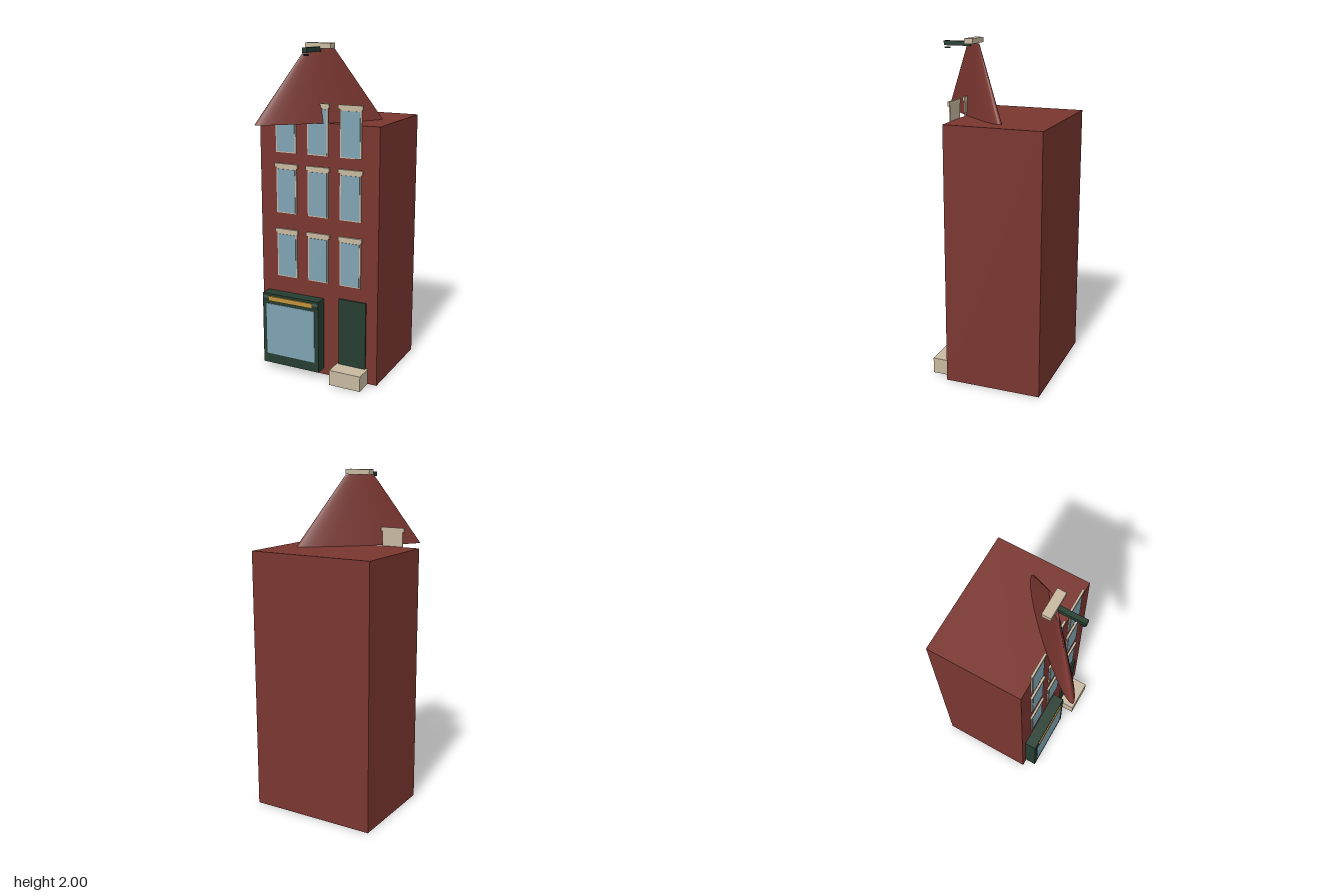
import * as THREE from 'three';

const mat = (color) => new THREE.MeshStandardMaterial({ color });

export function createModel() {
  const house = new THREE.Group();
  house.name = 'townhouse';
  const brick = mat(0x7a3630), stone = mat(0xc8b9a0), green = mat(0x263d30);
  const glass = mat(0x7fa3b3), gold = mat(0xc0933a);

  const add = (name, geometry, material, parent = house) => {
    const mesh = new THREE.Mesh(geometry, material);
    mesh.name = name;
    parent.add(mesh);
    return mesh;
  };
  // Box given by its extents on each axis
  const box = (name, material, [x0, x1], [y0, y1], [z0, z1], parent) => {
    const mesh = add(name, new THREE.BoxGeometry(x1 - x0, y1 - y0, z1 - z0), material, parent);
    mesh.position.set((x0 + x1) / 2, (y0 + y1) / 2, (z0 + z1) / 2);
    return mesh;
  };

  const wall = 0.167; // z of the front wall
  box('body', brick, [-0.385, 0.385], [0, 1.555], [-0.415, wall]);

  // Gable: a flattened, tapered cone set diagonally over the front
  const gable = add('gable', new THREE.CylinderGeometry(0.22, 1, 0.415, 48), brick);
  gable.scale.set(0.385, 1, 0.054);
  gable.rotation.y = Math.PI / 4;
  gable.position.set(0, 1.7625, 0.14);
  box('gableCap', stone, [-0.08, 0.08], [1.97, 2], [0.112, 0.165]);

  // Hoisting beam with its ring
  box('hoistBeam', green, [-0.014, 0.014], [1.953, 1.98], [0.155, 0.323]);
  const ring = add('hoistRing', new THREE.TorusGeometry(0.014, 0.004, 8, 20), green);
  ring.rotation.x = Math.PI / 2;
  ring.position.set(0, 1.941, 0.305);

  // Three floors of three windows
  for (const y of [0.598, 0.998, 1.365]) {
    for (const x of [-0.209, 0, 0.209]) {
      const win = new THREE.Group();
      win.name = 'window';
      win.position.set(x, y, wall);
      house.add(win);
      box('frame', stone, [-0.067, 0.067], [0, 0.277], [0, 0.007], win);
      box('pane', glass, [-0.059, 0.059], [0.006, 0.267], [0.002, 0.01], win);
      box('lintel', stone, [-0.076, 0.076], [0.276, 0.301], [0, 0.013], win);
    }
  }

  // Shop front with awning roll and sign
  box('shopFront', green, [-0.348, 0.034], [0.04, 0.495], [wall, 0.24]);
  box('shopPane', glass, [-0.322, 0.008], [0.102, 0.432], [0.23, 0.244]);
  const roll = add('awningRoll', new THREE.CylinderGeometry(0.03, 0.03, 0.376, 16), green);
  roll.rotation.z = Math.PI / 2;
  roll.position.set(-0.157, 0.463, 0.215);
  box('signBoard', gold, [-0.302, -0.008], [0.452, 0.481], [0.235, 0.248]);

  // Door and doorstep
  box('door', green, [0.138, 0.314], [0.02, 0.513], [wall, 0.178]);
  box('doorstep', stone, [0.127, 0.328], [0, 0.095], [wall, 0.282]);

  return house;
}
